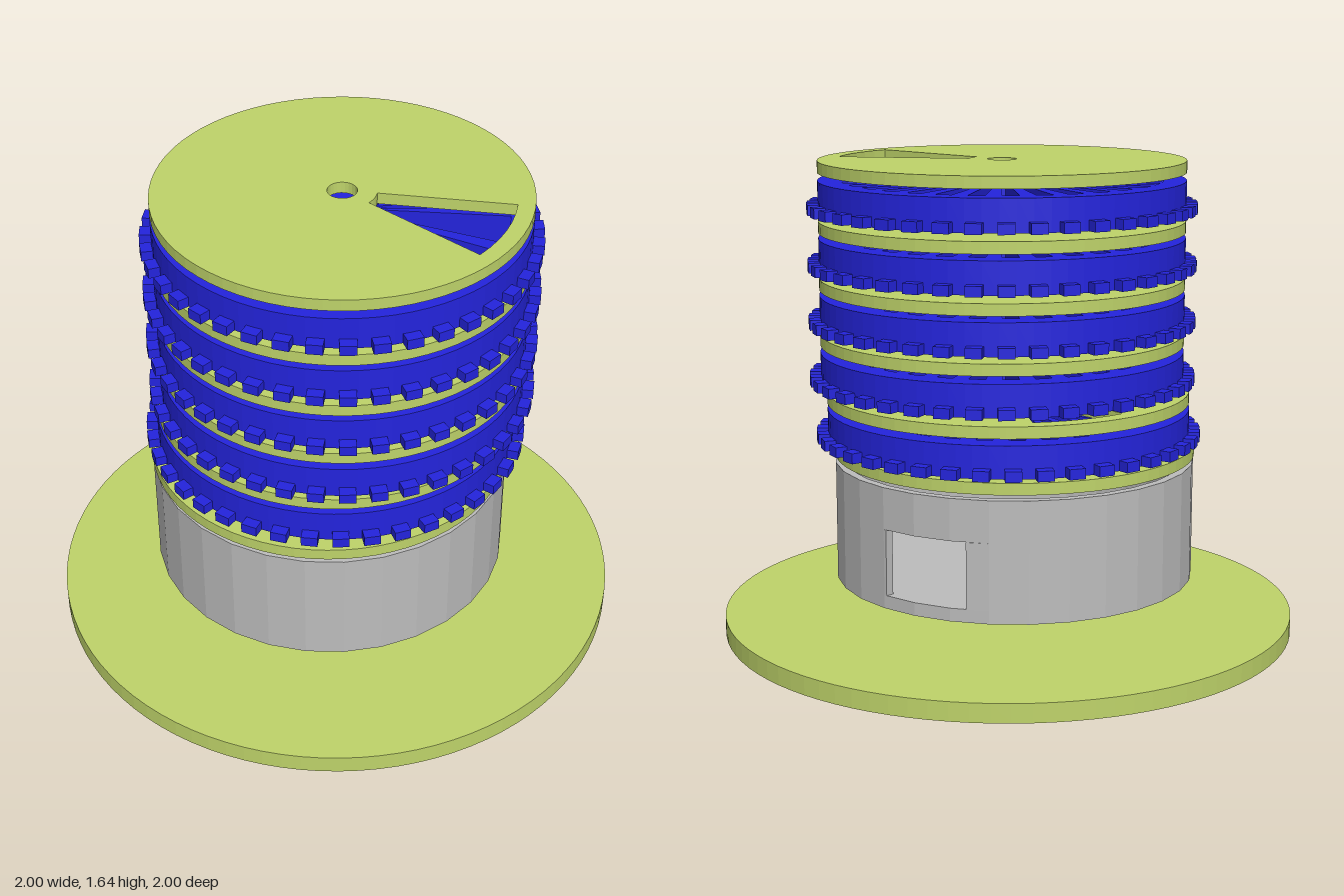
import * as THREE from 'three';

const green = new THREE.MeshStandardMaterial({ color: 0xbfd46a });
green.name = 'olive green';
const blue = new THREE.MeshStandardMaterial({ color: 0x2424de });
blue.name = 'deep blue';
const grey = new THREE.MeshStandardMaterial({ color: 0xbdbdbd });
grey.name = 'light grey';

const R = 0.628;            // shared radius of the stacked parts
const TAU = Math.PI * 2;
const deg = Math.PI / 180;

// points along an arc, both ends included
function arc(r, a0, a1, n) {
  return Array.from({ length: n + 1 }, (_, i) => {
    const a = a0 + (a1 - a0) * i / n;
    return new THREE.Vector2(r * Math.cos(a), r * Math.sin(a));
  });
}
const circle = (r, n) => arc(r, 0, TAU, n).slice(0, n);

// ring sector outline between two radii and two angles
const sector = (r0, r1, a0, a1, n = 6) => [...arc(r1, a0, a1, n), ...arc(r0, a1, a0, n)];

// extrude a flat outline with holes upwards from y0 to y1
function slab(name, material, outline, holes, y0, y1) {
  const shape = new THREE.Shape(outline);
  shape.holes = holes.map((h) => new THREE.Path(h));
  const geo = new THREE.ExtrudeGeometry(shape, { depth: y1 - y0, bevelEnabled: false });
  geo.rotateX(-Math.PI / 2).translate(0, y0, 0);
  const mesh = new THREE.Mesh(geo, material);
  mesh.name = name;
  return mesh;
}

// divider disc with an axle hole and a wedge-shaped chute
function makeDivider(y, chuteAngle) {
  const half = 16.5 * deg;
  return slab('dividerDisc', green, circle(R, 72), [
    circle(0.05, 24),
    sector(0.115, 0.57, chuteAngle - half, chuteAngle + half),
  ], y, y + 0.04);
}

// compartment drum: radial ribs, one left out, and a toothed rim at the bottom
function makeDrum(y) {
  const drum = new THREE.Group();
  drum.name = 'compartmentDrum';
  const count = 32, step = TAU / count, rib = 0.048, first = 0.01;
  const holes = [circle(0.05, 24)];
  for (let k = 1; k < count; k++) {
    const start = first + k * step + rib;
    const end = first + (k + 1) * step - rib;
    if (k < count - 0) holes.push(sector(0.11, 0.55, start, end, 2));
  }
  // the double-width compartment replaces the first one
  holes[1] = sector(0.11, 0.55, first + rib, first + 2 * step - rib, 4);
  drum.add(slab('drumBody', blue, circle(R, 72), holes, y, y + 0.11));

  const teeth = 40;
  const toothGeo = new THREE.BoxGeometry(0.057, 0.035, 0.055).translate(0.6375, y + 0.0175, 0);
  for (let i = 0; i < teeth; i++) {
    const tooth = new THREE.Mesh(toothGeo, blue);
    tooth.name = 'rimTooth';
    tooth.rotation.y = i * TAU / teeth;
    drum.add(tooth);
  }
  return drum;
}

// open-topped housing with a floor and an outlet in the back
function makeHousing() {
  const housing = new THREE.Group();
  housing.name = 'housing';
  const inner = R - 0.03, sides = 30;
  const a0 = 101 * deg, a1 = (73 + 360) * deg;
  const gap = [a0];
  for (let a = 108; a < 433; a += 12) gap.push(a * deg);
  gap.push(a1);
  const at = (r) => (a) => new THREE.Vector2(r * Math.cos(a), r * Math.sin(a));
  const wall = [...gap.map(at(R)), ...gap.slice().reverse().map(at(inner))];
  housing.add(
    slab('housingFloor', grey, circle(R, sides), [], 0.19, 0.235),
    slab('housingWall', grey, wall, [], 0.235, 0.462),
    slab('housingRim', grey, circle(R, sides), [circle(inner, sides)], 0.462, 0.605),
  );
  return housing;
}

export function createModel() {
  const model = new THREE.Group();
  model.name = 'stackedDispenser';
  const add = (part, x, z) => {
    part.position.set(x, 0, z);
    model.add(part);
  };

  // wide foot
  add(slab('basePlate', green, circle(1, 96), [], 0, 0.065), 0, 0);
  add(makeHousing(), -0.018, 0.013);

  // bottom divider opens above the outlet
  add(makeDivider(0.623, 90 * deg), -0.018, 0.017);

  // lowest drum level sits slightly off the upper ones
  add(makeDrum(0.683), -0.011, -0.02);
  add(makeDivider(0.815, 140 * deg), -0.01, -0.02);

  // upper drum levels, each with a divider on top
  [0.88, 1.077, 1.272, 1.467].forEach((y, i) => {
    add(makeDrum(y), 0.013, -0.02);
    add(makeDivider([1.015, 1.207, 1.402, 1.605][i], [190, 240, 290, 360][i] * deg), 0.013, -0.02);
  });
  return model;
}
